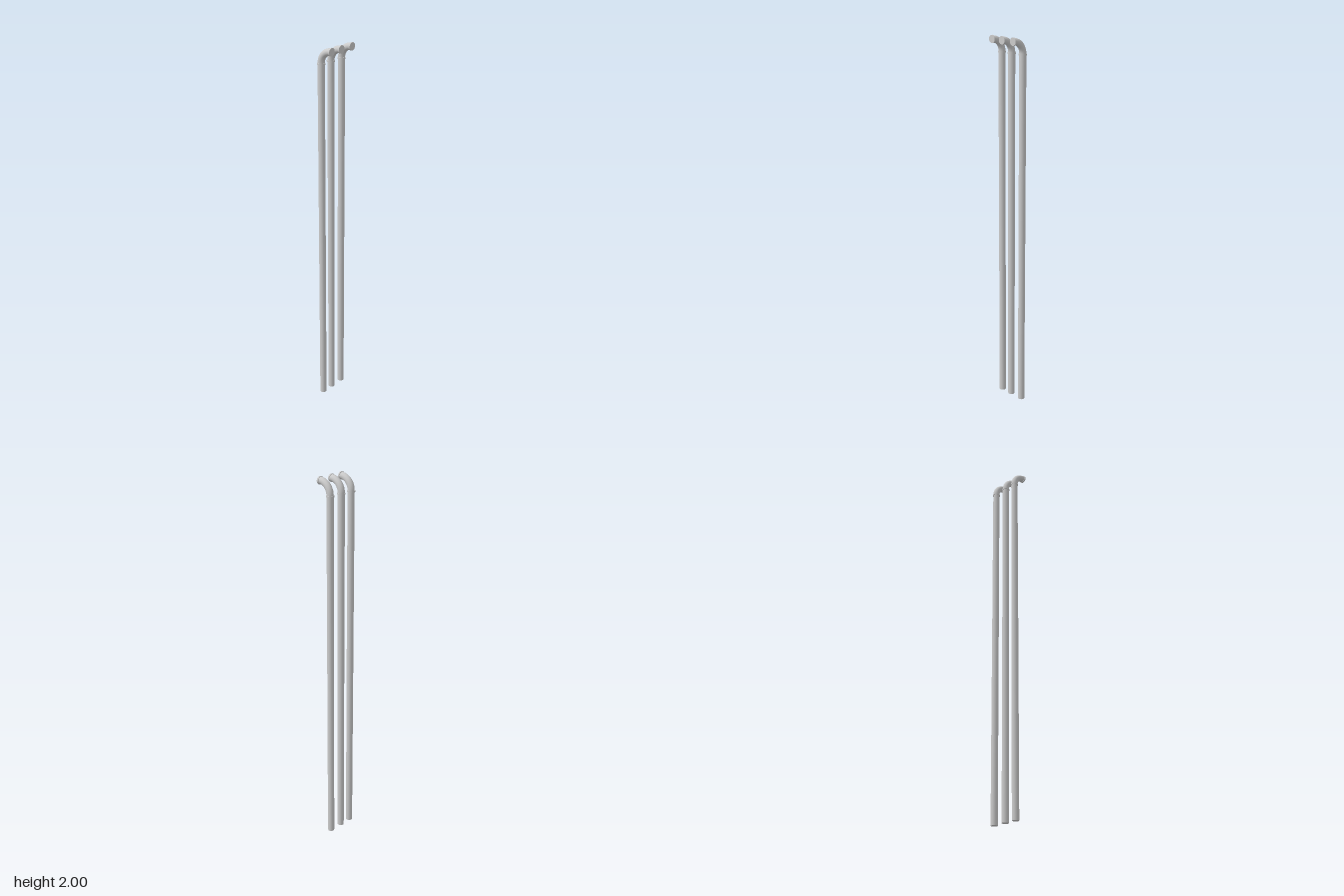
import * as THREE from 'three';

const SIDES = 14;
const PIPE_R = 0.018, COLLAR_R = 0.0205, COLLAR_L = 0.008;
const BACK_Z = -0.0245, FRONT_Z = 0.0445;   // vertical run and outlet face
const TOP_Y = 2 - COLLAR_R, BEND_Y = 1.908; // outlet axis and top of the straight run

const material = new THREE.MeshStandardMaterial({ color: 0xcccccc, side: THREE.DoubleSide });

function addPart(parent, name, geometry, y = 0, z = 0) {
  const mesh = new THREE.Mesh(geometry, material);
  mesh.name = name;
  mesh.position.set(0, y, z);
  parent.add(mesh);
  return mesh;
}

// Quarter bend from vertical to facing forward
function elbowGeometry() {
  const r = 0.064;
  const path = new THREE.CurvePath();
  const v = (y, z) => new THREE.Vector3(0, y, z);
  const k = r * 0.4477;
  path.add(new THREE.LineCurve3(v(BEND_Y, BACK_Z), v(TOP_Y - r, BACK_Z)));
  path.add(new THREE.CubicBezierCurve3(
    v(TOP_Y - r, BACK_Z), v(TOP_Y - k, BACK_Z),
    v(TOP_Y, BACK_Z + k), v(TOP_Y, BACK_Z + r)));
  path.add(new THREE.LineCurve3(v(TOP_Y, BACK_Z + r), v(TOP_Y, FRONT_Z - 0.001)));
  return new THREE.TubeGeometry(path, 14, PIPE_R, SIDES, false);
}

function createPipe() {
  const pipe = new THREE.Group();
  addPart(pipe, 'straightPipe',
    new THREE.CylinderGeometry(PIPE_R, PIPE_R, BEND_Y, SIDES), BEND_Y / 2, BACK_Z);
  addPart(pipe, 'elbow', elbowGeometry());

  // Collars at the joint and at the outlet
  const collar = new THREE.CylinderGeometry(COLLAR_R, COLLAR_R, COLLAR_L, SIDES * 2);
  addPart(pipe, 'jointCollar', collar, BEND_Y + COLLAR_L / 2, BACK_Z);
  const outlet = addPart(pipe, 'outletCollar', collar, TOP_Y, FRONT_Z - COLLAR_L / 2);
  outlet.rotation.x = Math.PI / 2;
  return pipe;
}

export function createModel() {
  const model = new THREE.Group();
  model.name = 'pipeRow';
  [['rightPipe', -0.075], ['middlePipe', -0.004], ['leftPipe', 0.075]].forEach(([name, x]) => {
    const pipe = createPipe();
    pipe.name = name;
    pipe.position.x = x;
    model.add(pipe);
  });
  return model;
}
